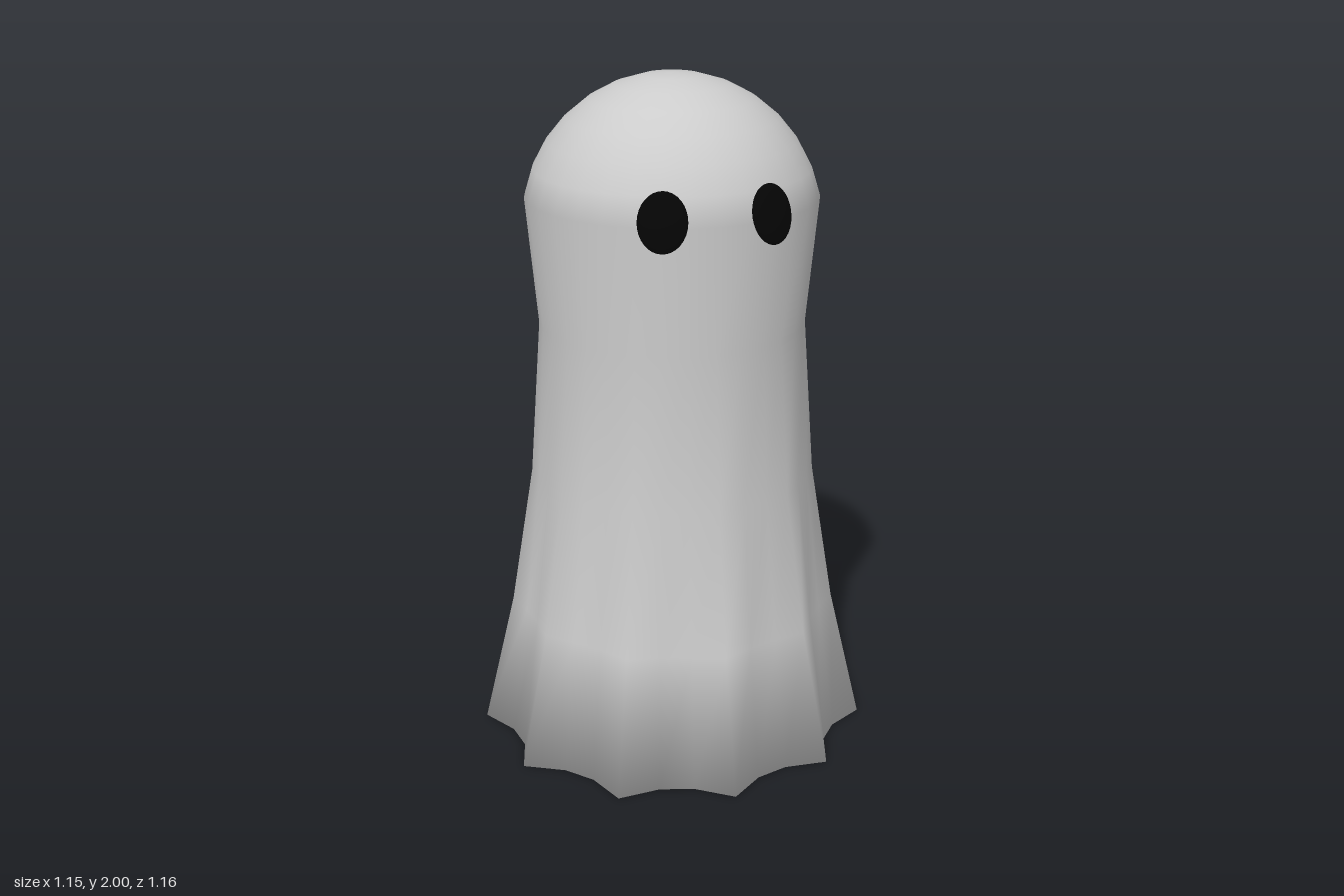
import * as THREE from 'three';

const SIDES = 32;
const HEAD_R = 0.433, HEAD_Y = 1.567;

// Rings of the sheet, hem to crown: [height, radius in the valleys, radius at the folds]
function sheetRings() {
  const rings = [
    [0, 0.515, 0.584],
    [0.4, 0.462, 0.49],
    [0.82, 0.414, 0.422],
    [1.28, 0.39, 0.39],
  ];
  // spherical head
  for (let k = 1; k < 8; k++) {
    const a = (k * Math.PI) / 16;
    const r = HEAD_R * Math.cos(a);
    rings.push([HEAD_Y + HEAD_R * Math.sin(a), r, r]);
  }
  return rings;
}

// Closed draped sheet: every third column is a pointed fold
function sheetGeometry() {
  const rings = sheetRings();
  const positions = [], index = [];
  for (const [y, valley, fold] of rings) {
    for (let i = 0; i < SIDES; i++) {
      const a = (i / SIDES) * Math.PI * 2;
      const isFold = ((i + SIDES - 14) % SIDES) % 3 === 0;
      const r = isFold ? fold : valley;
      positions.push(r * Math.sin(a), y, r * Math.cos(a));
    }
  }
  const last = (rings.length - 1) * SIDES;
  const bottom = rings.length * SIDES, top = bottom + 1;
  positions.push(0, 0, 0, 0, HEAD_Y + HEAD_R, 0);

  for (let i = 0; i < SIDES; i++) {
    const j = (i + 1) % SIDES;
    for (let s = 0; s < last; s += SIDES) {
      index.push(s + i, s + j, s + SIDES + j, s + i, s + SIDES + j, s + SIDES + i);
    }
    index.push(bottom, j, i, top, last + i, last + j); // underside and crown
  }
  const geometry = new THREE.BufferGeometry();
  geometry.setAttribute('position', new THREE.Float32BufferAttribute(positions, 3));
  geometry.setIndex(index);
  geometry.computeVertexNormals();
  return geometry;
}

export function createModel() {
  const model = new THREE.Group();
  model.name = 'ghost';

  const sheet = new THREE.Mesh(sheetGeometry(), new THREE.MeshStandardMaterial({ color: 0xcccccc }));
  sheet.name = 'sheet';
  model.add(sheet);

  // Flattened oval eyes lying on the head
  const eyeMaterial = new THREE.MeshStandardMaterial({ color: 0x050505 });
  const eyeGeometry = new THREE.SphereGeometry(1, 32, 16);
  for (const side of [-1, 1]) {
    const eye = new THREE.Mesh(eyeGeometry, eyeMaterial);
    eye.name = side > 0 ? 'leftEye' : 'rightEye';
    eye.scale.set(0.069, 0.084, 0.02);
    eye.position.set(side * 0.156, 1.668, 0.388);
    eye.rotation.set(-0.23, side * 0.38, 0, 'YXZ');
    model.add(eye);
  }

  // the folds are uneven, so the body sits slightly off centre
  model.children.forEach((part) => {
    part.position.x -= 0.007;
    part.position.z -= 0.01;
  });
  return model;
}
